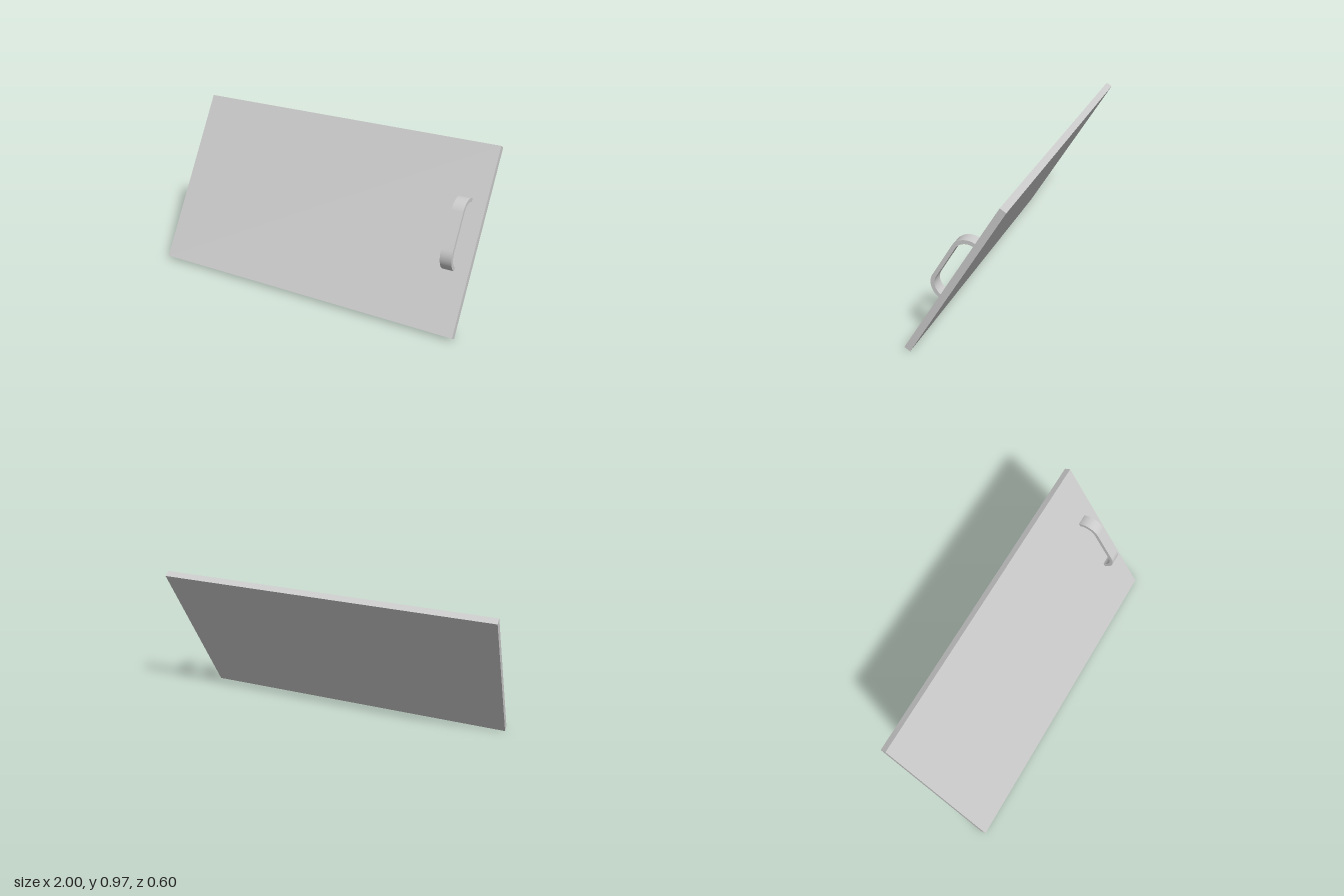
import * as THREE from 'three';
import { toCreasedNormals } from 'three/addons/utils/BufferGeometryUtils.js';

const LENGTH = 1.108;      // panel size along its slope
const THICK = 0.04;
const TILT = Math.atan2(0.57, 0.95);

// Bow handle: a flat strip with quarter-round ends, drawn in (outward, up)
function handleGeometry(halfLength, height, strip, width) {
  const mid = halfLength - height;         // centre of each end arc
  const inner = height - strip;
  const q = Math.PI / 2;
  const s = new THREE.Shape();
  s.moveTo(0, -halfLength);
  s.absarc(0, -mid, height, -q, 0, false);
  s.absarc(0, mid, height, 0, q, false);
  s.lineTo(0, mid + inner);
  s.absarc(0, mid, inner, q, 0, true);
  s.absarc(0, -mid, inner, 0, -q, true);
  s.closePath();
  const g = new THREE.ExtrudeGeometry(s, { depth: width, bevelEnabled: false, curveSegments: 20 });
  g.translate(0, 0, -width / 2);
  g.rotateY(-Math.PI / 2);                 // outward becomes +z
  return toCreasedNormals(g, 0.6);
}

export function createModel() {
  const material = new THREE.MeshStandardMaterial({ color: 0xcccccc });
  const model = new THREE.Group();
  model.name = 'flap';

  // Leaning door panel
  const panel = new THREE.Mesh(new THREE.BoxGeometry(2, LENGTH, THICK), material);
  panel.name = 'panel';

  // Pull handle near the left edge of the front face
  const handle = new THREE.Mesh(handleGeometry(0.2125, 0.1, 0.023, 0.07), material);
  handle.name = 'handle';
  handle.position.set(0.88, 0.021, THICK / 2);

  const leaning = new THREE.Group();
  leaning.name = 'leaningDoor';
  leaning.add(panel, handle);
  leaning.rotation.x = -TILT;
  leaning.position.y = (LENGTH * Math.cos(TILT) + THICK * Math.sin(TILT)) / 2;
  model.add(leaning);
  return model;
}
